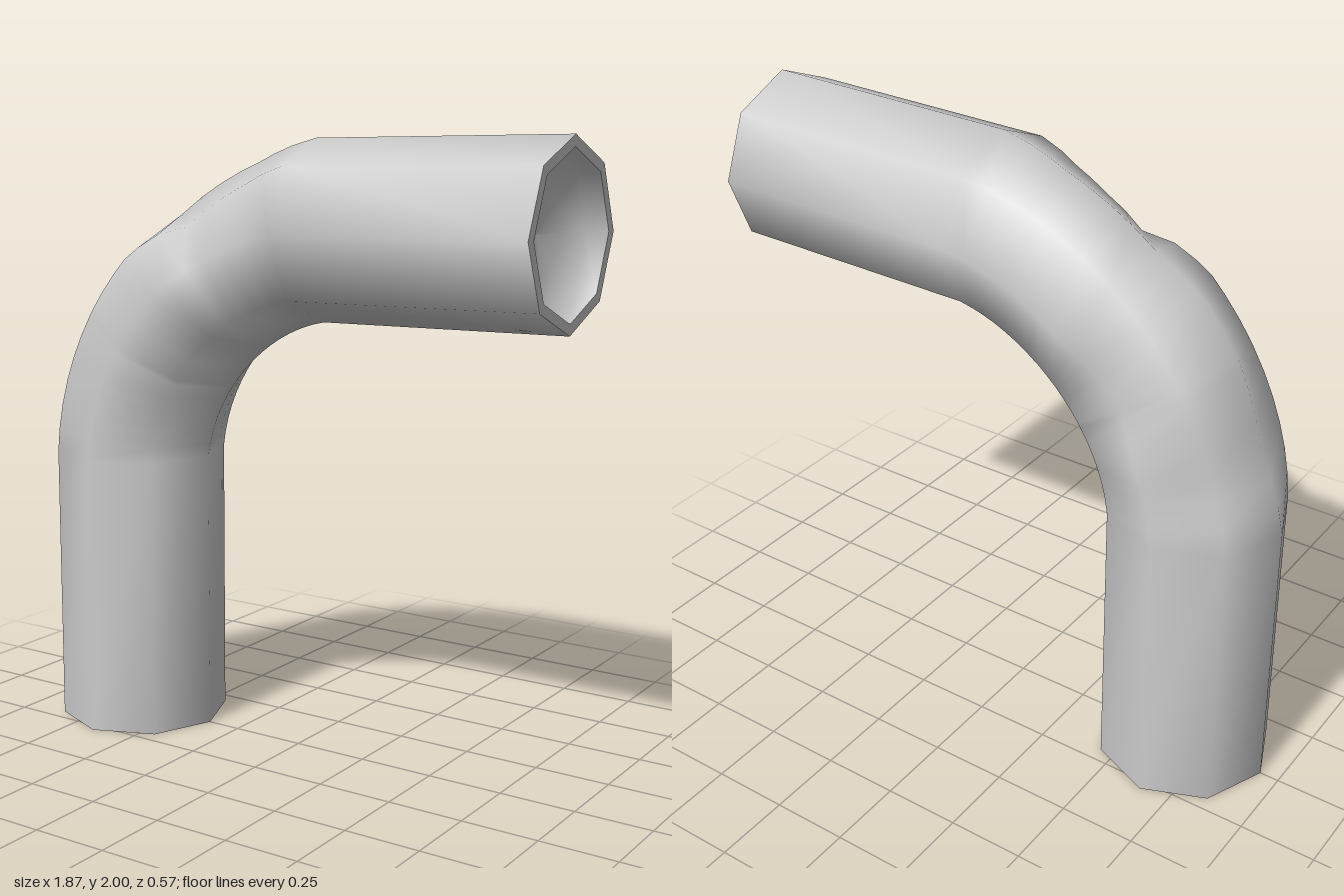
import * as THREE from 'three';

const SIDES = 8, RADIUS = 0.285, WALL = 0.035;
const BEND = { x: 0.122, y: 0.935, r: 0.77, tighten: 0.034 };

// Dents: [bend angle, radius] along single ridges of the octagon
const DENTS = {
  0: [[1, 0.285], [15, 0.246], [32, 0.281], [43, 0.281], [53, 0.252], [65, 0.254], [74, 0.257], [86, 0.285]],
  1: [[45, 0.285], [53, 0.266], [60, 0.214], [65, 0.224], [70, 0.23], [78, 0.25], [86, 0.285]],
  2: [[54, 0.285], [64, 0.255], [78, 0.255], [86, 0.285]],
  6: [[20, 0.285], [30, 0.245], [41, 0.245], [54, 0.285]],
  7: [[1, 0.285], [10, 0.257], [17, 0.254], [23, 0.264], [30, 0.285]],
};

function ridgeRadius(side, angle) {
  const t = DENTS[side];
  if (!t) return RADIUS;
  for (let i = 1; i < t.length; i++) {
    const [a0, r0] = t[i - 1], [a1, r1] = t[i];
    if (angle >= a0 && angle <= a1) return r0 + (r1 - r0) * (angle - a0) / (a1 - a0);
  }
  return RADIUS;
}

// One octagonal cross-section around a point of the centre line
function ring(x, y, angle, inset = 0) {
  const a = THREE.MathUtils.degToRad(angle), pts = [];
  for (let k = 0; k < SIDES; k++) {
    const phi = (k / SIDES) * Math.PI * 2;
    const r = ridgeRadius(k, angle) - inset;
    const out = r * Math.cos(phi);
    pts.push(new THREE.Vector3(x - out * Math.cos(a), y + out * Math.sin(a), r * Math.sin(phi)));
  }
  return pts;
}

// Straight leg, quarter bend (slightly flattened midway), straight arm
function pipeRings() {
  const rings = [ring(-0.652, 0, 0)];
  const angles = [0, 5, 10, 15, 20, 25, 30, 32, 36, 41, 45, 49, 54, 60, 65, 70, 74, 78, 82, 87];
  for (const angle of angles) {
    const a = THREE.MathUtils.degToRad(angle);
    const r = BEND.r - BEND.tighten * Math.sin(2 * a);
    rings.push(ring(BEND.x - r * Math.cos(a), BEND.y + r * Math.sin(a), angle));
  }
  rings.push(ring(0.935, 1.715, 90));
  return rings;
}

// Hollow in a pipe end: [depth, inset from the outer radius]
const HOLLOW = [[0, WALL], [0.06, 0.06], [0.1, 0.16], [0.115, RADIUS]];

// Skin a closed strip through successive rings
function skin(rings) {
  const index = [];
  for (let i = 0; i < rings.length - 1; i++) {
    for (let k = 0; k < SIDES; k++) {
      const n = (k + 1) % SIDES;
      const a = i * SIDES + k, b = i * SIDES + n, c = b + SIDES, d = a + SIDES;
      index.push(a, b, c, a, c, d);
    }
  }
  const geo = new THREE.BufferGeometry().setFromPoints(rings.flat());
  geo.setIndex(index);
  geo.computeVertexNormals();
  return geo;
}

export function createModel() {
  const group = new THREE.Group();
  group.name = 'bentPipe';
  const material = new THREE.MeshStandardMaterial({ color: 0xcccccc });
  const add = (name, rings) => {
    const mesh = new THREE.Mesh(skin(rings), material);
    mesh.name = name;
    group.add(mesh);
  };

  const outer = pipeRings();
  const bottom = HOLLOW.map(([depth, inset]) => ring(-0.652, depth, 0, inset));
  const side = HOLLOW.map(([depth, inset]) => ring(0.935 - depth, 1.715, 90, inset));

  add('outerWall', outer);
  add('bottomRim', [bottom[0], outer[0]]);
  add('sideRim', [outer[outer.length - 1], side[0]]);
  add('bottomHollow', [...bottom].reverse());
  add('sideHollow', side);
  return group;
}
